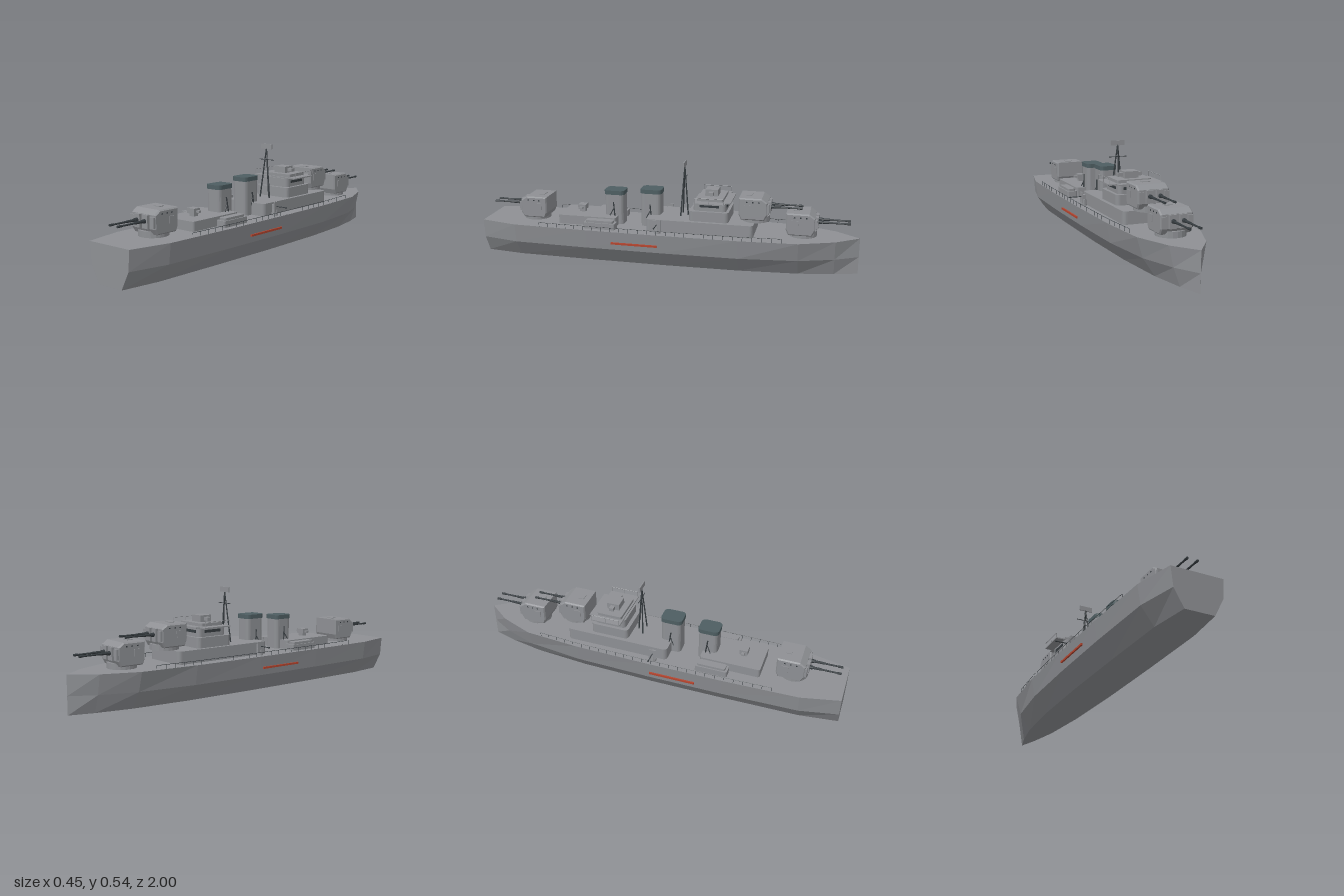
import * as THREE from 'three';

export function createModel() {
  const ship = new THREE.Group();
  ship.name = 'warship';
  const mat = (name, color, extra = {}) => Object.assign(new THREE.MeshStandardMaterial({ color, flatShading: true, ...extra }), { name });
  const grey = mat('naval grey', 0x8e9094);
  const capGrey = mat('funnel cap grey', 0x4e5e62);
  const dark = mat('dark steel', 0x363c40);
  const red = mat('red stripe', 0xb5452f);

  const add = (parent, name, geo, m, x = 0, y = 0, z = 0) => {
    const mesh = new THREE.Mesh(geo, m);
    mesh.name = name;
    mesh.position.set(x, y, z);
    parent.add(mesh);
    return mesh;
  };
  // Box given by its limits on each axis
  const box = (p, name, m, x0, x1, y0, y1, z0, z1) =>
    add(p, name, new THREE.BoxGeometry(x1 - x0, y1 - y0, z1 - z0), m, (x0 + x1) / 2, (y0 + y1) / 2, (z0 + z1) / 2);
  // Upright block with rounded corners in plan
  const block = (p, name, m, x0, x1, y0, y1, z0, z1, r = 0.02, seg = 3) => {
    const s = new THREE.Shape();
    const a = x0, b = x1, c = -z1, d = -z0, q = Math.PI / 2;
    s.absarc(b - r, d - r, r, 0, q, false);
    s.absarc(a + r, d - r, r, q, 2 * q, false);
    s.absarc(a + r, c + r, r, 2 * q, 3 * q, false);
    s.absarc(b - r, c + r, r, 3 * q, 4 * q, false);
    const g = new THREE.ExtrudeGeometry(s, { depth: y1 - y0, bevelEnabled: false, curveSegments: seg });
    g.rotateX(-q);
    return add(p, name, g, m, 0, y0, 0);
  };
  // Round bar between two points
  const bar = (p, name, m, from, to, r0, r1 = r0, sides = 6) => {
    const a = new THREE.Vector3(...from), b = new THREE.Vector3(...to);
    const dir = b.clone().sub(a);
    const mesh = add(p, name, new THREE.CylinderGeometry(r1, r0, dir.length(), sides), m);
    mesh.position.copy(a).add(b).multiplyScalar(0.5);
    mesh.quaternion.setFromUnitVectors(new THREE.Vector3(0, 1, 0), dir.normalize());
    return mesh;
  };

  // Hull stations: z, half width at deck, knuckle and bottom
  const deckY = 0.19, kneeY = 0.09;
  const stations = [
    [-1, 0, 0, 0], [-0.88, 0.09, 0.068, 0.035], [-0.7, 0.16, 0.13, 0.07], [-0.4, 0.183, 0.165, 0.095],
    [0, 0.189, 0.174, 0.105], [0.4, 0.188, 0.174, 0.105], [0.8, 0.178, 0.165, 0.1], [1, 0.132, 0.123, 0.075],
  ];
  const pos = [], idx = [];
  for (const [z, t, k, b] of stations)
    pos.push(t, deckY, z, k, kneeY, z, b, 0, z, -b, 0, z, -k, kneeY, z, -t, deckY, z);
  for (let i = 0; i < stations.length - 1; i++)
    for (let j = 0; j < 6; j++) {
      const a = i * 6 + j, b = i * 6 + (j + 1) % 6;
      idx.push(a, a + 6, b + 6, a, b + 6, b);
    }
  const e = (stations.length - 1) * 6;
  for (let k = 1; k < 5; k++) idx.push(e, e + k + 1, e + k);
  let hull = new THREE.BufferGeometry();
  hull.setAttribute('position', new THREE.Float32BufferAttribute(pos, 3));
  hull.setIndex(idx);
  hull = hull.toNonIndexed();
  hull.computeVertexNormals();
  add(ship, 'hull', hull, grey);
  const halfWidth = (z) => {
    const i = Math.max(1, stations.findIndex((s) => s[0] >= z));
    const [p, q] = [stations[i - 1], stations[i]];
    return p[1] + (q[1] - p[1]) * (z - p[0]) / (q[0] - p[0]);
  };

  // Deckhouses
  block(ship, 'forwardDeckhouse', grey, -0.127, 0.127, deckY, 0.255, -0.47, 0.0875);
  block(ship, 'aftDeckhouse', grey, -0.1, 0.1, deckY, 0.238, 0.26, 0.578, 0.012);
  box(ship, 'aftDirectorBase', grey, -0.015, 0.015, 0.238, 0.255, 0.455, 0.485);
  box(ship, 'aftDirector', grey, -0.024, 0.024, 0.252, 0.278, 0.45, 0.492);
  box(ship, 'aftRangefinder', grey, -0.042, 0.042, 0.258, 0.268, 0.462, 0.478);

  // Bridge
  const bridge = new THREE.Group();
  bridge.name = 'bridge';
  ship.add(bridge);
  block(bridge, 'bridgeLower', grey, -0.107, 0.107, 0.255, 0.308, -0.34, -0.135);
  block(bridge, 'bridgeUpper', grey, -0.09, 0.09, 0.308, 0.354, -0.325, -0.155);
  box(bridge, 'wingPlatform', grey, -0.14, 0.14, 0.354, 0.36, -0.325, -0.165);
  box(bridge, 'platformNose', grey, -0.1, 0.1, 0.354, 0.36, -0.35, -0.325);
  block(bridge, 'wheelhouse', grey, -0.092, 0.092, 0.36, 0.375, -0.31, -0.175, 0.01);
  box(bridge, 'director', grey, -0.037, 0.037, 0.375, 0.409, -0.275, -0.208);
  box(bridge, 'rangefinder', grey, -0.066, 0.066, 0.382, 0.4, -0.254, -0.23);
  box(bridge, 'frontWindows', dark, -0.065, 0.065, 0.328, 0.342, -0.328, -0.324);
  for (const s of [-1, 1]) {
    box(bridge, 'sideWindows', dark, s * 0.0905 - 0.002, s * 0.0905 + 0.002, 0.328, 0.342, -0.29, -0.19);
    for (const z of [-0.32, -0.245, -0.17])
      bar(bridge, 'wingPost', grey, [s * 0.138, 0.36, z], [s * 0.138, 0.387, z], 0.0015, 0.0015, 4);
    bar(bridge, 'wingRail', grey, [s * 0.138, 0.387, -0.32], [s * 0.138, 0.387, -0.17], 0.0015, 0.0015, 4);
  }

  // Tripod mast
  const mast = new THREE.Group();
  mast.name = 'mast';
  ship.add(mast);
  for (const [x, z] of [[-0.032, -0.078], [0.032, -0.078], [0, -0.112]])
    bar(mast, 'mastLeg', dark, [x, 0.255, z], [0, 0.522, -0.092], 0.004, 0.003);
  bar(mast, 'yard', dark, [-0.049, 0.458, -0.094], [0.049, 0.458, -0.094], 0.002);
  box(mast, 'radarPanel', grey, -0.037, 0.037, 0.516, 0.542, -0.095, -0.089);

  // Funnels with dark caps and steam pipes
  for (const [z0, z1, top] of [[0.025, 0.14, 0.39], [0.228, 0.338, 0.373]]) {
    const f = new THREE.Group();
    f.name = 'funnel';
    ship.add(f);
    block(f, 'funnelBody', grey, -0.044, 0.044, deckY, top - 0.022, z0 + 0.004, z1 - 0.004, 0.02, 2);
    block(f, 'funnelCap', capGrey, -0.047, 0.047, top - 0.022, top, z0, z1, 0.022, 2);
    const zc = (z0 + z1) / 2;
    for (const s of [-1, 1]) {
      bar(f, 'steamPipe', dark, [s * 0.056, deckY, zc - 0.012], [s * 0.047, 0.31, zc + 0.002], 0.0035);
      bar(f, 'steamPipeBranch', dark, [s * 0.056, 0.24, zc + 0.02], [s * 0.047, 0.275, zc + 0.002], 0.0025);
    }
  }

  // Twin gun turret, built pointing to +z
  const turret = (name, y, z, turn) => {
    const t = new THREE.Group();
    t.name = name;
    t.position.set(0, y, z);
    t.rotation.y = turn;
    ship.add(t);
    add(t, 'barbette', new THREE.CylinderGeometry(0.072, 0.072, 0.03, 20), grey, 0, 0.015, 0);
    const profile = [[-0.066, 0.022], [-0.076, 0.045], [-0.076, 0.124], [0.032, 0.124], [0.058, 0.106], [0.058, 0.045], [0.045, 0.022]];
    const s = new THREE.Shape(profile.map(([pz, py]) => new THREE.Vector2(-pz, py)));
    const g = new THREE.ExtrudeGeometry(s, { depth: 0.146, bevelSize: 0.006, bevelThickness: 0.007, bevelSegments: 1 });
    g.translate(0, 0, -0.073);
    g.rotateY(Math.PI / 2);
    add(t, 'gunhouse', g, grey);
    box(t, 'roofHatch', grey, -0.02, 0.02, 0.13, 0.133, -0.05, -0.02);
    for (const m of [-1, 1]) {
      const x = m * 0.026;
      box(t, 'gunPort', grey, x - 0.017, x + 0.017, 0.045, 0.108, 0.05, 0.078);
      box(t, 'frontCheek', grey, m * 0.064 - 0.013, m * 0.064 + 0.013, 0.05, 0.1, 0.05, 0.072);
      bar(t, 'gunCollar', dark, [x, 0.08, 0.074], [x, 0.08, 0.094], 0.011, 0.009, 10);
      bar(t, 'barrelBase', dark, [x, 0.08, 0.09], [x, 0.08, 0.14], 0.007, 0.006, 8);
      bar(t, 'barrel', dark, [x, 0.08, 0.14], [x, 0.08, 0.235], 0.005, 0.004, 8);
      bar(t, 'muzzle', dark, [x, 0.08, 0.215], [x, 0.08, 0.237], 0.006, 0.006, 8);
      for (const wz of [-0.04, -0.01, 0.02])
        box(t, 'visionSlit', dark, m * 0.08 - 0.001, m * 0.08 + 0.001, 0.108, 0.114, wz - 0.004, wz + 0.004);
      box(t, 'sideLocker', grey, m * 0.08 - 0.004, m * 0.08 + 0.004, 0.06, 0.095, -0.055, -0.02);
    }
  };
  turret('forwardTurret', deckY, -0.712, Math.PI);
  turret('raisedForwardTurret', 0.255, -0.47, Math.PI);
  turret('aftTurret', deckY, 0.735, 0);

  // Mirrored deck fittings
  for (const s of [-1, 1]) {
    const side = new THREE.Group();
    side.name = s > 0 ? 'leftFittings' : 'rightFittings';
    ship.add(side);
    // Boats beside the aft deckhouse
    const bx = s * 0.128;
    block(side, 'boat', grey, bx - 0.028, bx + 0.028, deckY, 0.222, 0.25, 0.42, 0.01);
    block(side, 'boatCover', grey, bx - 0.021, bx + 0.021, 0.222, 0.234, 0.262, 0.408, 0.01);
    // Light gun pointing outboard
    add(side, 'lightGunPedestal', new THREE.CylinderGeometry(0.014, 0.018, 0.035, 10), grey, s * 0.147, 0.207, 0.022);
    box(side, 'lightGunBreech', grey, s * 0.147 - 0.011, s * 0.147 + 0.011, 0.222, 0.248, 0.012, 0.032);
    box(side, 'lightGunShield', grey, s * 0.158 - 0.002, s * 0.158 + 0.002, 0.205, 0.262, 0.002, 0.042);
    bar(side, 'lightGunBarrel', dark, [s * 0.155, 0.238, 0.022], [s * 0.218, 0.238, 0.022], 0.0025);
    bar(side, 'lightGunMuzzle', dark, [s * 0.216, 0.238, 0.022], [s * 0.226, 0.238, 0.022], 0.0035);
    // Red side stripe
    box(side, 'sideStripe', red, s * 0.187 - 0.004, s * 0.187 + 0.004, 0.124, 0.134, 0.015, 0.26);
    // Deck railing
    const n = 26, at = (i, y) => {
      const z = -0.62 + 1.28 * i / n;
      return [s * (halfWidth(z) - 0.004), y, z];
    };
    for (let i = 0; i <= n; i++) {
      bar(side, 'railPost', dark, at(i, deckY), at(i, 0.211), 0.0012, 0.0012, 4);
      if (i < n) bar(side, 'rail', dark, at(i, 0.211), at(i + 1, 0.211), 0.0012, 0.0012, 4);
    }
  }
  return ship;
}
